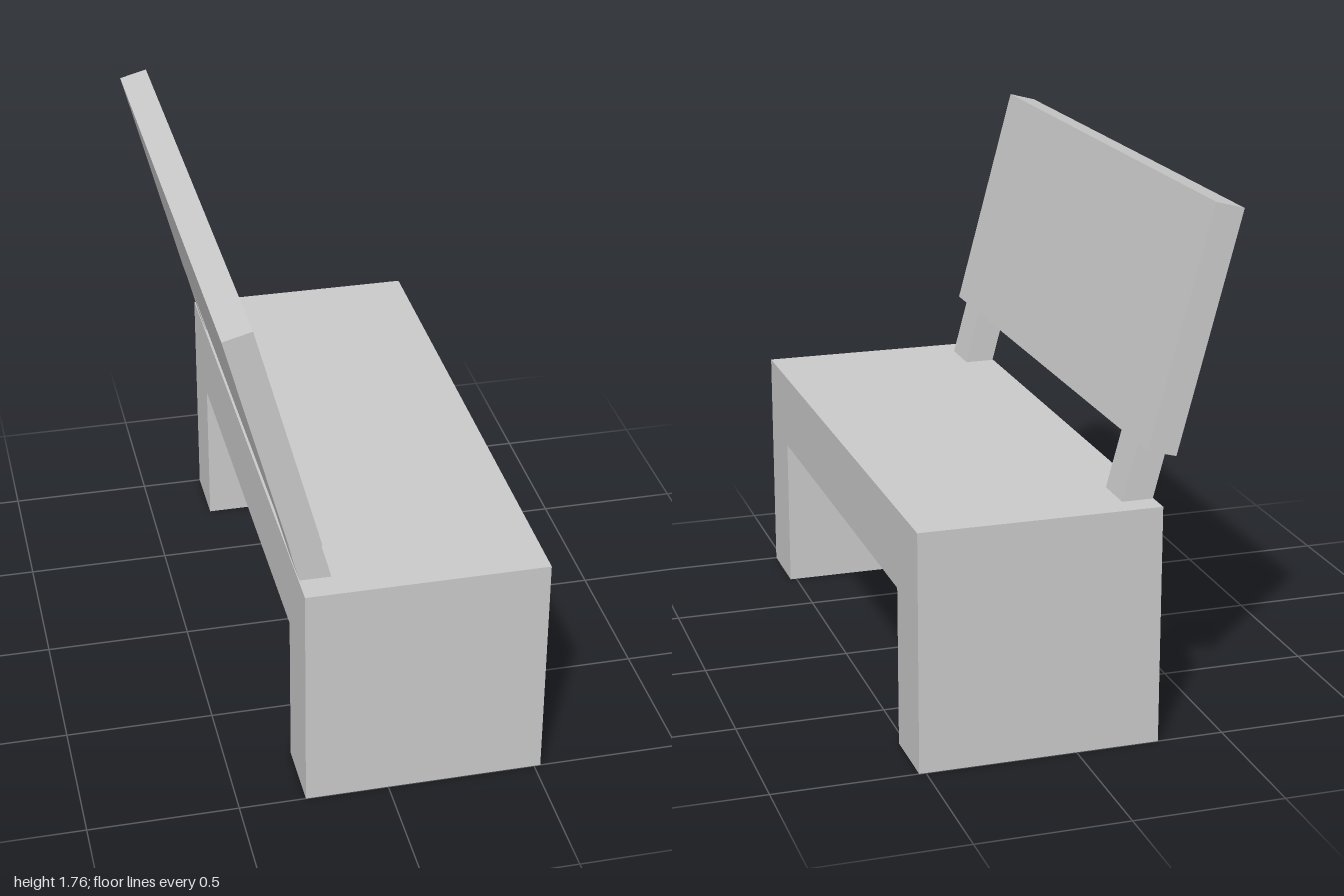
import * as THREE from 'three';

const material = new THREE.MeshStandardMaterial({ color: 0xcccccc, flatShading: true });

function extrude(points, depth) {
  const shape = new THREE.Shape(points.map(([x, y]) => new THREE.Vector2(x, y)));
  return new THREE.ExtrudeGeometry(shape, { depth, bevelEnabled: false });
}

function addPart(group, name, geometry) {
  const mesh = new THREE.Mesh(geometry, material);
  mesh.name = name;
  group.add(mesh);
}

export function createModel() {
  const bench = new THREE.Group();
  bench.name = 'bench';

  // Seat and both slab legs: one arch outline in (z, y), swept along x
  const arch = extrude([
    [-1, 0], [-0.765, 0], [-0.765, 0.535], [0.757, 0.535],
    [0.757, 0], [1, 0], [1, 0.8], [-1, 0.8],
  ], 0.8);
  arch.rotateY(-Math.PI / 2).translate(0.522, 0, 0);
  addPart(bench, 'seatAndLegs', arch);

  // Leaning backrest board: tilted outline in (x, y), swept along z
  const board = extrude([[-0.318, 0.963], [-0.222, 0.988], [-0.428, 1.762], [-0.522, 1.737]], 2);
  addPart(bench, 'backrest', board.translate(0, 0, -1));

  // Two short posts continuing the lean down to the seat
  for (const [name, start, end] of [['leftPost', -0.917, -0.77], ['rightPost', 0.743, 0.903]]) {
    const post = extrude([[-0.275, 0.8], [-0.172, 0.8], [-0.222, 0.988], [-0.318, 0.963]], end - start);
    addPart(bench, name === 'leftPost' ? 'rearPost' : 'frontPost', post.translate(0, 0, start));
  }

  return bench;
}
